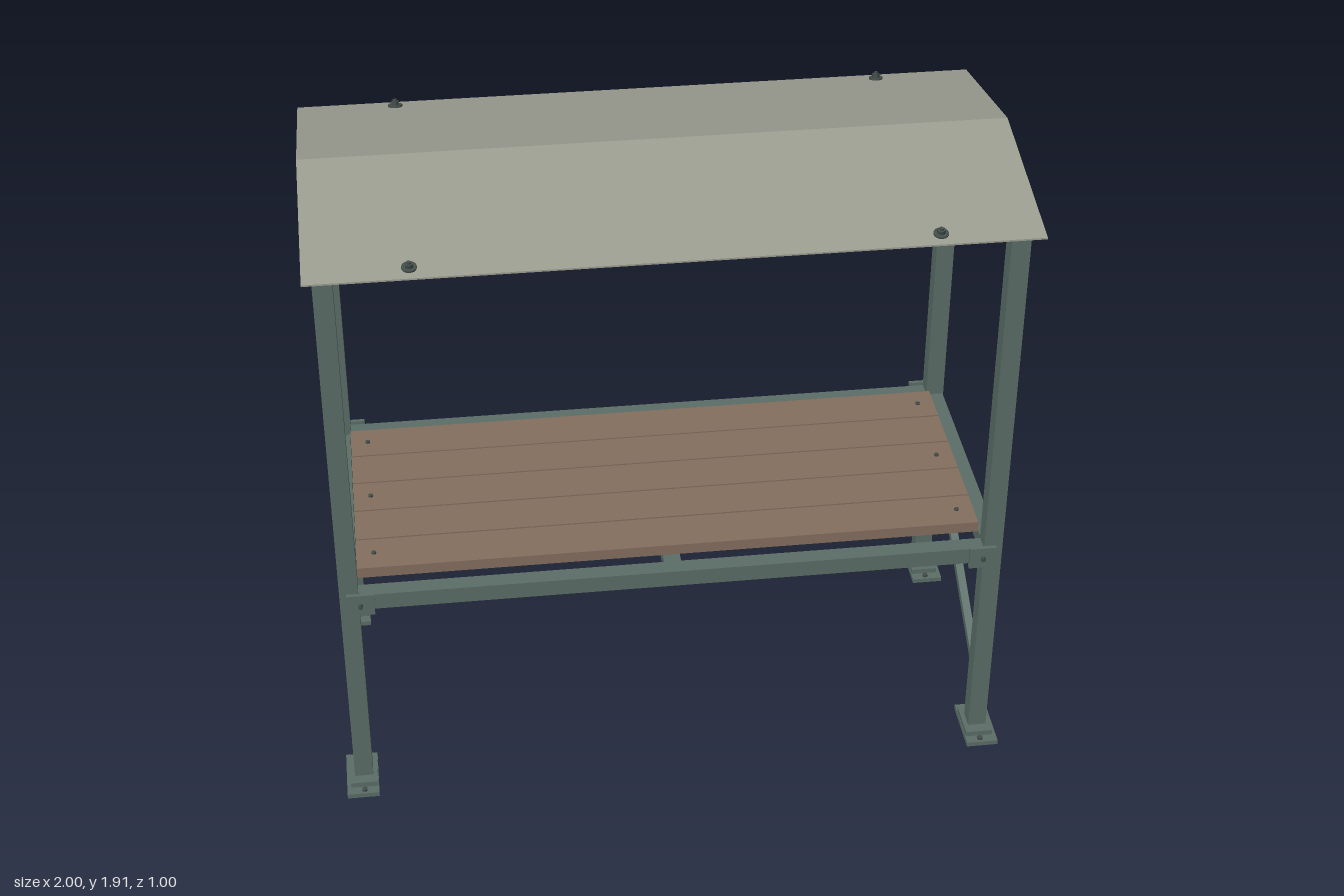
import * as THREE from 'three';

const mat = (name, color) => {
  const m = new THREE.MeshStandardMaterial({ color });
  m.name = name;
  return m;
};

export function createModel() {
  const root = new THREE.Group();
  root.name = 'shelteredBench';
  const steel = mat('greenSteel', 0x5b6e67);
  const wood = mat('deckWood', 0x846f5f);
  const sheet = mat('roofSheet', 0x9d9e92);
  const dark = mat('boltSteel', 0x434d4a);

  const add = (name, geo, material, x, y, z, parent = root) => {
    const m = new THREE.Mesh(geo, material);
    m.name = name;
    m.position.set(x, y, z);
    parent.add(m);
    return m;
  };
  const box = (name, w, h, d, x, y, z, material = steel, parent = root) =>
    add(name, new THREE.BoxGeometry(w, h, d), material, x, y, z, parent);
  // Square bar running between two points
  const bar = (name, a, b, w, h) => {
    const p = new THREE.Vector3(...a), q = new THREE.Vector3(...b);
    const m = box(name, w, h, p.distanceTo(q), 0, 0, 0);
    m.position.copy(p).add(q).multiplyScalar(0.5);
    m.lookAt(q);
    return m;
  };

  const PX = 0.947, PZ = 0.41, T = 0.055;

  // Corner posts with stepped feet, corner plates and bolts
  for (const sx of [-1, 1]) for (const sz of [-1, 1]) {
    const corner = new THREE.Group();
    corner.name = 'cornerPost';
    root.add(corner);
    const x = sx * PX, z = sz * PZ;
    box('post', T, 1.77, T, x, 0.915, z, steel, corner);
    box('basePlate', 0.096, 0.015, 0.18, sx * 0.952, 0.0075, z, steel, corner);
    box('footBlock', 0.082, 0.017, 0.12, x, 0.0235, z, steel, corner);
    for (const e of [-1, 1])
      add('anchorBolt', new THREE.CylinderGeometry(0.009, 0.009, 0.008, 6), dark, x, 0.018, z + e * 0.075, corner);
    box('cornerPlate', 0.08, 0.07, 0.012, sx * 0.915, 0.695, sz * 0.4435, steel, corner);
    const bolt = add('plateBolt', new THREE.CylinderGeometry(0.007, 0.007, 0.012, 6), dark,
      sx * 0.915, 0.695, sz * 0.455, corner);
    bolt.rotation.x = Math.PI / 2;
  }

  // Deck frame
  for (const s of [-1, 1]) {
    box('longRail', 1.84, 0.052, 0.05, 0, 0.695, s * PZ);
    box('endRail', 0.05, 0.05, 0.765, s * PX, 0.695, 0);
  }
  box('middleJoist', 0.05, 0.045, 0.77, 0, 0.6965, 0);

  // Deck planks with screws on alternate boards
  for (let i = -2; i <= 2; i++) {
    box('plank', 1.84, 0.034, 0.136, 0, 0.737, i * 0.1415, wood);
    if (i % 2 === 0) for (const s of [-1, 1])
      add('plankScrew', new THREE.CylinderGeometry(0.007, 0.007, 0.006, 8), dark, s * 0.868, 0.757, i * 0.1415);
  }

  // Crossed braces at the back and one diagonal at each end
  for (const s of [-1, 1]) {
    bar('backBrace', [-s * 0.925, 0.193, -PZ], [s * 0.925, 0.655, -PZ], 0.024, 0.026);
    bar('endBrace', [s * PX, 0.195, 0.385], [s * PX, 0.65, -0.385], 0.024, 0.026);
  }

  // Roof frame: eave beams, ridge beam and sloped rafters
  const slope = Math.atan2(0.1, 0.5);
  for (const s of [-1, 1]) {
    const eave = box('eaveBeam', 1.94, 0.03, 0.05, 0, 1.813, s * PZ);
    eave.rotation.x = s * slope;
    for (const e of [-1, 1])
      bar('rafter', [e * PX, 1.8925, 0], [e * PX, 1.806, s * 0.435], 0.05, 0.03);
  }
  box('ridgeBeam', 1.94, 0.03, 0.055, 0, 1.889, 0);

  // Folded roof sheet
  const fold = new THREE.Shape([
    [-0.5, 1.81], [0, 1.91], [0.5, 1.81], [0.5, 1.815], [0, 1.915], [-0.5, 1.815],
  ].map(([a, b]) => new THREE.Vector2(a, b)));
  const roofGeo = new THREE.ExtrudeGeometry(fold, { depth: 2, bevelEnabled: false });
  roofGeo.translate(0, 0, -1).rotateY(Math.PI / 2);
  add('roofSheet', roofGeo, sheet, 0, 0, 0);

  // Roof bolts set square to the slope
  for (const sx of [-1, 1]) for (const sz of [-1, 1]) {
    const g = new THREE.Group();
    g.name = 'roofBolt';
    g.position.set(sx * 0.715, 1.821, sz * 0.458);
    g.rotation.x = sz * slope;
    root.add(g);
    add('washer', new THREE.CylinderGeometry(0.021, 0.021, 0.006, 16), dark, 0, 0.004, 0, g);
    add('boltHead', new THREE.CylinderGeometry(0.012, 0.012, 0.012, 6), dark, 0, 0.012, 0, g);
    add('shank', new THREE.CylinderGeometry(0.006, 0.006, 0.055, 8), dark, 0, -0.004, 0, g);
    add('nut', new THREE.CylinderGeometry(0.012, 0.012, 0.01, 6), dark, 0, -0.02, 0, g);
  }
  return root;
}
